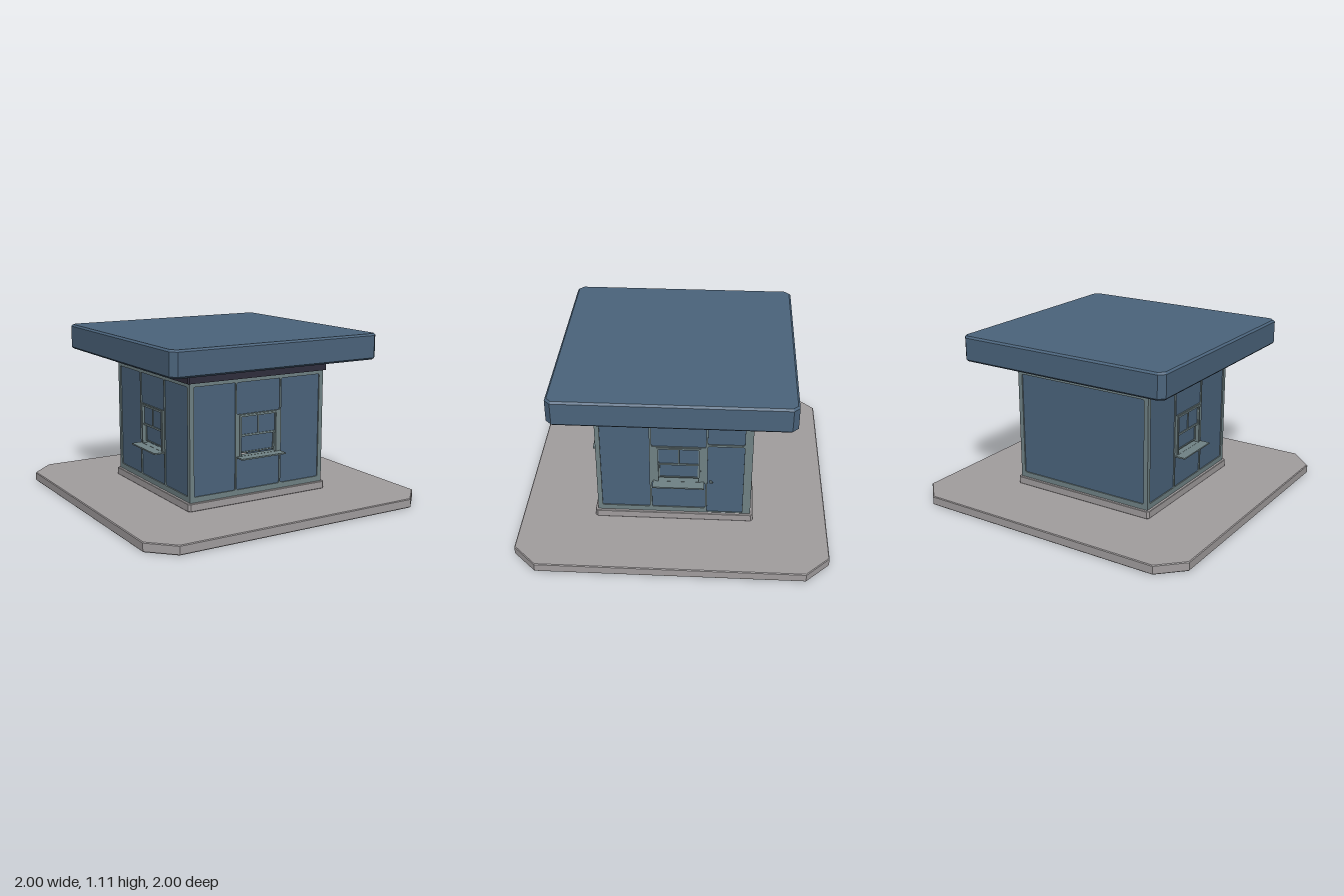
import * as THREE from 'three';

const mat = (name, color, extra = {}) => Object.assign(new THREE.MeshStandardMaterial({ color, ...extra }), { name });

export function createModel() {
  const model = new THREE.Group();
  model.name = 'guardBooth';
  const blue = mat('blue panel', 0x4b647c);
  const frame = mat('grey green frame', 0x708285);
  const concrete = mat('concrete', 0xa29e9f);
  const dark = mat('dark fascia', 0x302e3d);
  const lens = mat('lamp lens', 0xc4c4be);

  const add = (parent, name, geometry, material) => {
    const mesh = new THREE.Mesh(geometry, material);
    mesh.name = name;
    parent.add(mesh);
    return mesh;
  };
  // Box given by its limits
  const box = (parent, name, material, x0, x1, y0, y1, z0, z1) => {
    const m = add(parent, name, new THREE.BoxGeometry(x1 - x0, y1 - y0, z1 - z0), material);
    m.position.set((x0 + x1) / 2, (y0 + y1) / 2, (z0 + z1) / 2);
    return m;
  };
  // Square block with cut corners and a small bevel on its rims
  const block = (name, material, half, cut, y0, y1, bevel) => {
    const h = half - bevel, c = h - cut;
    const shape = new THREE.Shape([
      [-c, -h], [c, -h], [h, -c], [h, c], [c, h], [-c, h], [-h, c], [-h, -c],
    ].map(([x, y]) => new THREE.Vector2(x, y)));
    const g = new THREE.ExtrudeGeometry(shape, {
      depth: y1 - y0 - 2 * bevel, bevelEnabled: bevel > 0,
      bevelSize: bevel, bevelThickness: bevel, bevelSegments: 1,
    });
    g.rotateX(-Math.PI / 2).translate(0, y0 + bevel, 0);
    return add(model, name, g, material);
  };
  // Rectangle path with slightly rounded corners
  const rect = (path, [x0, x1, y0, y1], r) => {
    if (!r) return path.moveTo(x0, y0).lineTo(x1, y0).lineTo(x1, y1).lineTo(x0, y1).closePath();
    path.moveTo(x0 + r, y0).lineTo(x1 - r, y0).quadraticCurveTo(x1, y0, x1, y0 + r);
    path.lineTo(x1, y1 - r).quadraticCurveTo(x1, y1, x1 - r, y1);
    path.lineTo(x0 + r, y1).quadraticCurveTo(x0, y1, x0, y1 - r);
    return path.lineTo(x0, y0 + r).quadraticCurveTo(x0, y0, x0 + r, y0);
  };
  // Flat plate with rectangular openings, between two depths
  const plate = (parent, name, material, outer, holes, r, z0, z1) => {
    const shape = rect(new THREE.Shape(), outer, 0);
    for (const h of holes) shape.holes.push(rect(new THREE.Path(), h, r));
    const g = new THREE.ExtrudeGeometry(shape, { depth: z1 - z0, bevelEnabled: false, curveSegments: 3 });
    return add(parent, name, g.translate(0, 0, z0), material);
  };

  // Ground slab, plinth, fascia and roof
  block('groundSlab', concrete, 1, 0.15, 0, 0.06, 0.005);
  block('plinth', concrete, 0.518, 0.012, 0.06, 0.11, 0.003);
  block('fasciaBand', dark, 0.518, 0.01, 0.86, 0.945, 0);
  block('roof', blue, 0.75, 0.03, 0.943, 1.11, 0.012);

  // Sliding sash window with a counter, centred on x = c
  const addWindow = (wall, c) => {
    const w = new THREE.Group();
    w.name = 'window';
    w.position.x = c;
    wall.add(w);
    plate(w, 'windowFrame', frame, [-0.142, 0.142, 0.36, 0.627], [[-0.13, 0.13, 0.363, 0.615]], 0, 0.465, 0.506);
    plate(w, 'upperSash', frame, [-0.131, 0.131, 0.487, 0.616],
      [[-0.127, -0.004, 0.499, 0.612], [0.004, 0.127, 0.499, 0.612]], 0, 0.484, 0.498);
    box(w, 'upperGlass', blue, -0.13, 0.13, 0.49, 0.615, 0.488, 0.492);
    plate(w, 'lowerSash', frame, [-0.131, 0.131, 0.375, 0.495], [[-0.122, 0.122, 0.383, 0.484]], 0, 0.468, 0.482);
    box(w, 'lowerGlass', blue, -0.126, 0.126, 0.379, 0.49, 0.472, 0.476);
    box(w, 'counter', frame, -0.165, 0.165, 0.353, 0.362, 0.46, 0.57);
  };

  // One wall: frame with openings and recessed panels
  const addWall = (name, angle, panels, windowX, door) => {
    const wall = new THREE.Group();
    wall.name = name;
    wall.rotation.y = angle;
    model.add(wall);
    const holes = [...panels];
    if (windowX !== null) holes.push([windowX - 0.14, windowX + 0.14, 0.362, 0.625]);
    if (door) holes.push(door);
    plate(wall, 'wallFrame', frame, [-0.5, 0.5, 0.11, 0.86], holes, 0.01, 0.47, 0.5);
    for (const [x0, x1, y0, y1] of panels)
      box(wall, 'wallPanel', blue, x0 - 0.003, x1 + 0.003, y0 - 0.003, y1 + 0.003, 0.476, 0.492);
    if (windowX !== null) addWindow(wall, windowX);
    if (door) {
      const [x0, x1, y0, y1] = door;
      box(wall, 'door', blue, x0 - 0.003, x1 + 0.003, y0 - 0.003, y1 + 0.003, 0.474, 0.491);
      // Door handle: stem and lever
      const stem = add(wall, 'handleStem', new THREE.CylinderGeometry(0.008, 0.008, 0.016, 12).rotateX(Math.PI / 2), frame);
      stem.position.set(x0 + 0.022, 0.362, 0.498);
      box(wall, 'handleLever', frame, x0 + 0.016, x0 + 0.038, 0.358, 0.366, 0.502, 0.51);
    }
  };

  const low = 0.145, high = 0.835;
  const sidePanels = [
    [-0.47, -0.172, low, high], [0.172, 0.47, low, high],
    [-0.162, 0.162, low, 0.35], [-0.162, 0.162, 0.632, high],
  ];
  addWall('frontWall', 0, sidePanels, 0, null);
  addWall('windowSideWall', -Math.PI / 2, sidePanels, 0, null);
  addWall('backWall', Math.PI, [[-0.47, 0.47, low, high]], null, null);
  addWall('doorSideWall', Math.PI / 2, [
    [-0.47, -0.157, low, high], [-0.143, 0.203, low, 0.35],
    [-0.143, 0.203, 0.632, high], [0.215, 0.447, 0.657, high],
  ], 0.03, [0.215, 0.447, 0.113, 0.643]);

  // Two lamps under each roof overhang
  for (let i = 0; i < 4; i++) {
    const lamps = new THREE.Group();
    lamps.name = 'soffitLamps';
    lamps.rotation.y = i * Math.PI / 2;
    model.add(lamps);
    for (const x of [-0.325, 0.325]) {
      box(lamps, 'lampPlate', blue, x - 0.043, x + 0.043, 0.938, 0.945, 0.597, 0.683);
      box(lamps, 'lampLens', lens, x - 0.022, x + 0.022, 0.936, 0.942, 0.618, 0.662);
    }
  }
  return model;
}
